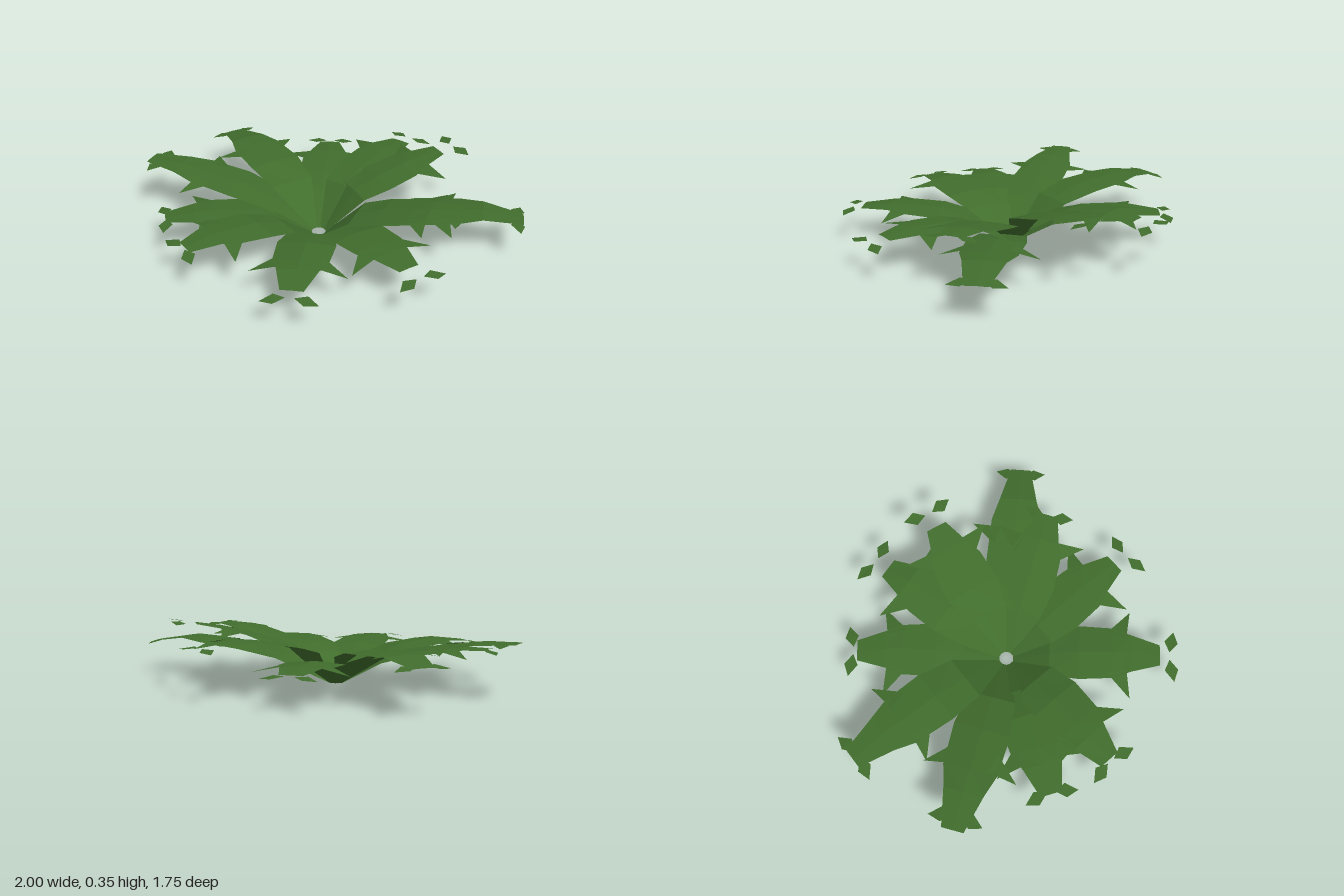
import * as THREE from 'three';

// Rosette centre
const CX = -0.05, CZ = -0.03, R0 = 0.036;
// Blade outline: fraction of length, half width
const BLADE = [[0, 0.02], [0.25, 0.12], [0.45, 0.145], [0.68, 0.135], [0.8, 0.1], [1, 0.055]];
const STOPS = [0, 0.25, 0.5, 0.8, 1];

// Tip x, tip z, tip leaflet offset, heights along the leaf
const LEAVES = [
  { name: 'backLeftLeaf', tip: [-0.59, -0.82], gap: -0.02, h: [0, 0.18, 0.245, 0.25, 0.22] },
  { name: 'leftLeaf', tip: [-0.975, -0.345], gap: -0.06, h: [0, 0.16, 0.23, 0.265, 0.27] },
  { name: 'leftFrontLeaf', tip: [-0.82, 0.14], gap: 0.0, h: [0, 0.12, 0.18, 0.185, 0.17] },
  { name: 'frontLeftLeaf', tip: [-0.67, 0.44], gap: 0.02, h: [0, 0.13, 0.19, 0.2, 0.18] },
  { name: 'frontLeaf', tip: [-0.14, 0.76], gap: 0.06, h: [0, 0.12, 0.17, 0.175, 0.16] },
  { name: 'frontRightLeaf', tip: [0.39, 0.58], gap: 0.09, h: [0, 0.13, 0.18, 0.185, 0.17] },
  { name: 'rightFrontLeaf', tip: [0.65, 0.24], gap: 0.0, h: [0, 0.16, 0.22, 0.265, 0.27] },
  { name: 'rightLeaf', tip: [0.99, 0.12], gap: -0.03, h: [0, 0.13, 0.19, 0.21, 0.175] },
  { name: 'rightBackLeaf', tip: [0.59, -0.355], gap: 0.09, h: [0, 0.2, 0.265, 0.31, 0.33] },
  { name: 'backRightLeaf', tip: [0.4, -0.62], gap: 0.09, h: [0, 0.19, 0.25, 0.275, 0.26] },
  { name: 'backLeaf', tip: [-0.01, -0.8], gap: 0.03, h: [0, 0.13, 0.175, 0.18, 0.165] },
];

function leafGeometry({ tip, gap, h }) {
  const dx = tip[0] - CX, dz = tip[1] - CZ;
  const L = Math.hypot(dx, dz), ux = dx / L, uz = dz / L;
  const pos = [];

  // Point at distance r along the leaf and w across it, drooping at the sides
  const point = ([r, w]) => {
    const t = (r - R0) / (L - R0);
    let i = 0;
    while (i < 3 && t > STOPS[i + 1]) i++;
    const k = (t - STOPS[i]) / (STOPS[i + 1] - STOPS[i]);
    const y = h[i] + (h[i + 1] - h[i]) * k - 0.6 * w * w * Math.min(1, Math.max(0, t * 2));
    return [CX + ux * r + uz * w, Math.max(0, y), CZ + uz * r - ux * w];
  };
  const polygon = (pts) => {
    const p = pts.map(point);
    for (let i = 1; i < p.length - 1; i++) pos.push(...p[0], ...p[i], ...p[i + 1]);
  };
  const bothSides = (pts) => {
    polygon(pts);
    polygon(pts.map(([r, w]) => [r, -w]).reverse());
  };

  // Main blade
  const rows = BLADE.map(([t, w]) => [R0 + t * (L - R0), w]);
  for (let i = 0; i < rows.length - 1; i++) {
    const [r0, w0] = rows[i], [r1, w1] = rows[i + 1];
    bothSides([[r0, 0], [r1, 0], [r1, w1], [r0, w0]]);
  }
  // Pointed side lobes
  const rs = 0.45 + 0.24 * L;
  bothSides([[rs - 0.12, 0.11], [rs - 0.02, 0.085], [rs, 0.235]]);
  // Small diamond leaflets at the tip
  const rt = L + gap;
  bothSides([[rt - 0.01, 0.02], [rt + 0.035, 0.07], [rt + 0.015, 0.135], [rt - 0.035, 0.08]]);

  const geo = new THREE.BufferGeometry();
  geo.setAttribute('position', new THREE.Float32BufferAttribute(pos, 3));
  geo.computeVertexNormals();
  return geo;
}

export function createModel() {
  const group = new THREE.Group();
  group.name = 'rosettePlant';
  const leafGreen = new THREE.MeshStandardMaterial({ color: 0x416d2d, side: THREE.DoubleSide });
  leafGreen.name = 'leafGreen';
  for (const leaf of LEAVES) {
    const mesh = new THREE.Mesh(leafGeometry(leaf), leafGreen);
    mesh.name = leaf.name;
    group.add(mesh);
  }
  return group;
}
